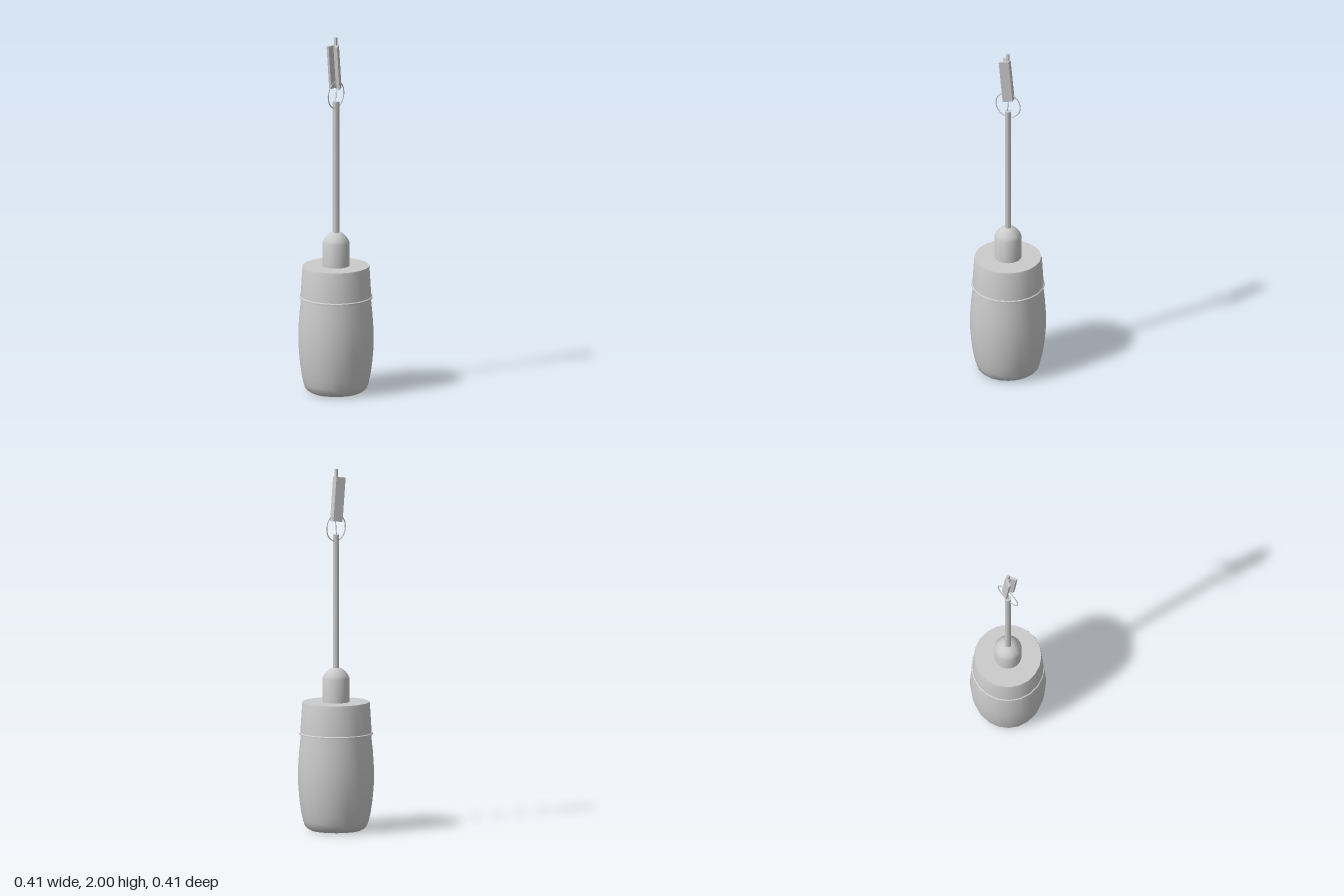
import * as THREE from 'three';
import { toCreasedNormals } from 'three/addons/utils/BufferGeometryUtils.js';

export function createModel() {
  const model = new THREE.Group();
  const material = new THREE.MeshStandardMaterial({ color: 0xcccccc });

  function add(name, geometry) {
    const mesh = new THREE.Mesh(geometry, material);
    mesh.name = name;
    model.add(mesh);
    return mesh;
  }

  // Turned part from [radius, height] pairs, listed from bottom to top
  function turned(name, profile, sides) {
    const points = profile.map(([r, y]) => new THREE.Vector2(r, y));
    const lathe = new THREE.LatheGeometry(points, sides, Math.PI / sides);
    return add(name, toCreasedNormals(lathe, 0.6));
  }

  // Barrel-shaped glass globe with a flat base
  turned('globe', [
    [0, 0.005], [0.145, 0.005], [0.158, 0.01], [0.17, 0.022], [0.18, 0.05], [0.191, 0.1],
    [0.201, 0.17], [0.207, 0.24], [0.209, 0.3], [0.207, 0.37],
    [0.202, 0.44], [0.196, 0.5], [0.192, 0.535],
  ], 20);
  turned('globeFoot', [[0, 0], [0.14, 0], [0.147, 0.006], [0, 0.006]], 20);

  // Tapered holder with a thin rim over the globe
  turned('holder', [
    [0, 0.53], [0.202, 0.53], [0.202, 0.537], [0.196, 0.541],
    [0.186, 0.7], [0.183, 0.71], [0, 0.71],
  ], 20);

  // Domed neck
  turned('neck', [
    [0.074, 0.705], [0.074, 0.84], [0.067, 0.857], [0.055, 0.874],
    [0.038, 0.89], [0.02, 0.898], [0, 0.9],
  ], 32);

  // Suspension rod
  turned('rod', [[0, 0.89], [0.018, 0.89], [0.018, 1.637], [0, 1.637]], 16);

  // Ring through the top of the rod
  add('ring', new THREE.TorusGeometry(0.074, 0.003, 8, 40)).position.y = 1.675;

  // Leaning V-section clip, open towards -x; shape y becomes depth
  const section = new THREE.Shape([
    [0.025, -0.013], [0.025, 0.013], [-0.025, 0.035], [-0.025, 0.021],
    [0.001, 0.008], [0.001, -0.008], [-0.025, -0.021], [-0.025, -0.035],
  ].map(([x, y]) => new THREE.Vector2(x, y)));
  const clipGeometry = new THREE.ExtrudeGeometry(section, { depth: 0.245, bevelEnabled: false });
  clipGeometry.translate(0, 0, -0.1225);
  clipGeometry.rotateX(-Math.PI / 2);
  const clip = add('clip', clipGeometry);
  clip.position.set(-0.003, 1.833, 0);
  clip.rotation.z = 0.1;

  // Square pin at the top of the clip and the fine wire below it
  add('topPin', new THREE.BoxGeometry(0.014, 0.1, 0.014)).position.set(-0.002, 1.95, 0);
  const wirePath = new THREE.LineCurve3(
    new THREE.Vector3(-0.004, 1.63, 0), new THREE.Vector3(0.006, 1.74, 0));
  add('wire', new THREE.TubeGeometry(wirePath, 1, 0.0025, 6));

  return model;
}
